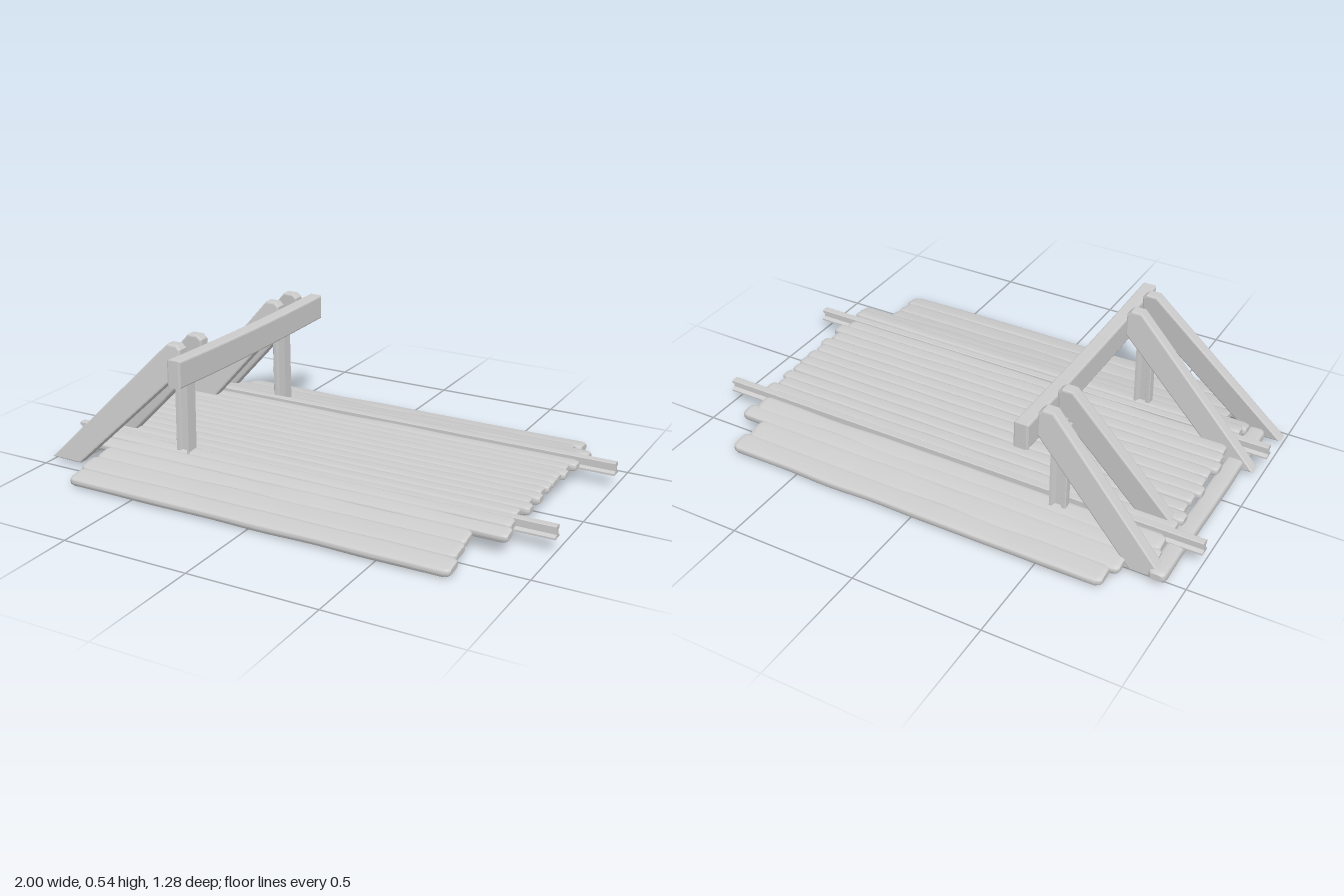
import * as THREE from 'three';
import { RoundedBoxGeometry } from 'three/addons/geometries/RoundedBoxGeometry.js';

const mat = new THREE.MeshStandardMaterial({ color: 0xcccccc });

function add(parent, name, geo, x = 0, y = 0, z = 0) {
  const m = new THREE.Mesh(geo, mat);
  m.name = name;
  m.position.set(x, y, z);
  parent.add(m);
  return m;
}

// Worn timber along x: squarish rounded section, rounded ends, slight waviness
function timber(length, height, width, seed) {
  const rings = 28;
  const g = new THREE.CylinderGeometry(1, 1, 2, 20, rings);
  g.rotateZ(-Math.PI / 2);
  const p = g.attributes.position;
  const squash = (v) => Math.sign(v) * Math.abs(v) ** 0.55;
  for (let i = 0; i < p.count; i++) {
    const t = p.getX(i);
    // Gather the outer three rings near the end and shrink them to round it over
    const ring = Math.round((1 - Math.abs(t)) * rings / 2);
    const inset = [0, 0.007, 0.022][ring];
    const taper = [0.62, 0.86, 1][ring] ?? 1;
    const x = inset === undefined ? t * length / 2 : Math.sign(t) * (length / 2 - inset);
    const wave = Math.sin(t * 7 + seed * 2.3) + 0.6 * Math.sin(t * 15 + seed * 5.1);
    const swell = taper * (1 + 0.03 * Math.sin(t * 11 + seed * 3.7));
    p.setXYZ(i, x,
      squash(p.getY(i)) * height / 2 * swell + wave * 0.001,
      squash(p.getZ(i)) * width / 2 * swell + wave * 0.0006);
  }
  g.computeVertexNormals();
  return g;
}

// Rail section, foot at y = 0, extruded along z
function railGeometry(length, h, w) {
  const half = [[0.5, 0], [0.5, 0.14], [0.14, 0.28], [0.14, 0.64], [0.36, 0.72], [0.36, 0.95], [0.28, 1]];
  const pts = [...half, ...half.map(([a, b]) => [-a, b]).reverse()];
  const s = new THREE.Shape(pts.map(([a, b]) => new THREE.Vector2(a * w, b * h)));
  return new THREE.ExtrudeGeometry(s, { depth: length, bevelEnabled: false });
}

export function createModel() {
  const model = new THREE.Group();
  model.name = 'trackEndStop';

  // Running rails
  for (const z of [0.265, -0.35]) {
    add(model, 'rail', railGeometry(2, 0.047, 0.042).rotateY(Math.PI / 2), -1, 0.056, z);
  }

  // Deck planks between the rails, butted tightly
  const deck = new THREE.Group();
  deck.name = 'deck';
  model.add(deck);
  const count = 11, z0 = -0.33, z1 = 0.245, pitch = (z1 - z0) / count;
  for (let i = 0; i < count; i++) {
    const z = z0 + pitch * (i + 0.5);
    const x0 = -0.875 + 0.012 * Math.sin(i * 4.3);
    const x1 = 0.855 + 0.014 * Math.sin(i * 2.9 + 1);
    const y = 0.088 - 0.012 * Math.max(0, -z / 0.33) + 0.0015 * Math.sin(i * 5);
    add(deck, 'deckPlank', timber(x1 - x0, 0.036, pitch * 1.12, i), (x0 + x1) / 2, y, z);
  }

  // Shoulder planks stepping down to the ground: z, y, width, x start, x end, tilt
  const shoulders = [
    [0.312, 0.088, 0.06, -0.87, 0.86, 0.12], [0.362, 0.075, 0.068, -0.88, 0.87, 0.2],
    [0.425, 0.058, 0.085, -0.78, 0.75, 0.2], [0.503, 0.045, 0.1, -0.79, 0.755, 0.14],
    [0.59, 0.031, 0.092, -0.78, 0.77, 0.17],
    [-0.403, 0.069, 0.076, -0.87, 0.83, 0.17], [-0.456, 0.059, 0.068, -0.88, 0.86, 0.17],
    [-0.522, 0.044, 0.098, -0.78, 0.77, 0.2], [-0.598, 0.029, 0.09, -0.75, 0.79, 0.15],
  ];
  shoulders.forEach(([z, y, w, a, b, tilt], i) => {
    const m = add(model, 'shoulderPlank', timber(b - a, 0.036, w, i + 20), (a + b) / 2, y, z);
    m.rotation.x = Math.sign(z) * tilt;
  });

  // Sleepers underneath, the last one exposed behind the deck
  [-0.9, -0.64, -0.38, -0.12].forEach((x, i) => {
    const g = timber(i ? 0.99 : 0.95, 0.042, 0.068, i + 40).rotateY(Math.PI / 2);
    add(model, i ? 'sleeper' : 'endSleeper', g, x, 0.04, i ? -0.015 : -0.055);
  });

  // Raking braces: foot x, foot z, head z
  const braces = [[-0.985, 0.44, 0.372], [-0.965, 0.207, 0.238], [-0.9, -0.272, -0.315], [-0.92, -0.495, -0.455]];
  braces.forEach(([x, zFoot, zHead], i) => {
    const top = i < 2 ? 0.535 : 0.52;
    const s = new THREE.Shape();
    s.moveTo(x, 0.026);
    s.lineTo(x + 0.12, 0.026);
    s.lineTo(-0.427, top - 0.09);
    s.lineTo(-0.427, top - 0.012);
    s.lineTo(-0.44, top);
    s.lineTo(-0.475, top);
    s.closePath();
    const g = new THREE.ExtrudeGeometry(s, {
      depth: 0.034, bevelThickness: 0.007, bevelSize: 0.007, bevelSegments: 2,
    });
    // Lean the brace sideways from foot to head
    const p = g.attributes.position;
    for (let k = 0; k < p.count; k++) {
      const t = (p.getY(k) - 0.026) / (top - 0.026);
      p.setZ(k, p.getZ(k) - 0.017 + zFoot + (zHead - zFoot) * t);
    }
    g.computeVertexNormals();
    add(model, 'brace', g);
  });

  // Upright posts cut from rail, foot flange towards the buffer beam
  for (const [z, w, lean] of [[0.314, 0.052, 0.02], [-0.394, 0.046, -0.02]]) {
    const g = railGeometry(0.37, 0.062, w).rotateX(-Math.PI / 2).rotateY(Math.PI / 2);
    const post = add(model, 'post', g, -0.438, 0.06, z);
    post.rotation.x = -lean;
  }

  // Buffer beam, sagging towards the middle
  const beam = new THREE.Shape();
  beam.moveTo(-0.47, 0.417);
  beam.quadraticCurveTo(-0.04, 0.4, 0.545, 0.411);
  beam.lineTo(0.545, 0.496);
  beam.quadraticCurveTo(0.04, 0.487, -0.47, 0.507);
  beam.closePath();
  const beamGeo = new THREE.ExtrudeGeometry(beam, {
    depth: 0.042, bevelThickness: 0.007, bevelSize: 0.007, bevelSegments: 2, curveSegments: 10,
  }).rotateY(Math.PI / 2);
  add(model, 'bufferBeam', beamGeo, -0.416, 0, 0);

  // Small packing blocks tying the post heads to the beam
  for (const z of [0.306, -0.386]) {
    add(model, 'postPacking', new RoundedBoxGeometry(0.06, 0.03, 0.05, 2, 0.006), -0.45, 0.425, z);
  }

  return model;
}
